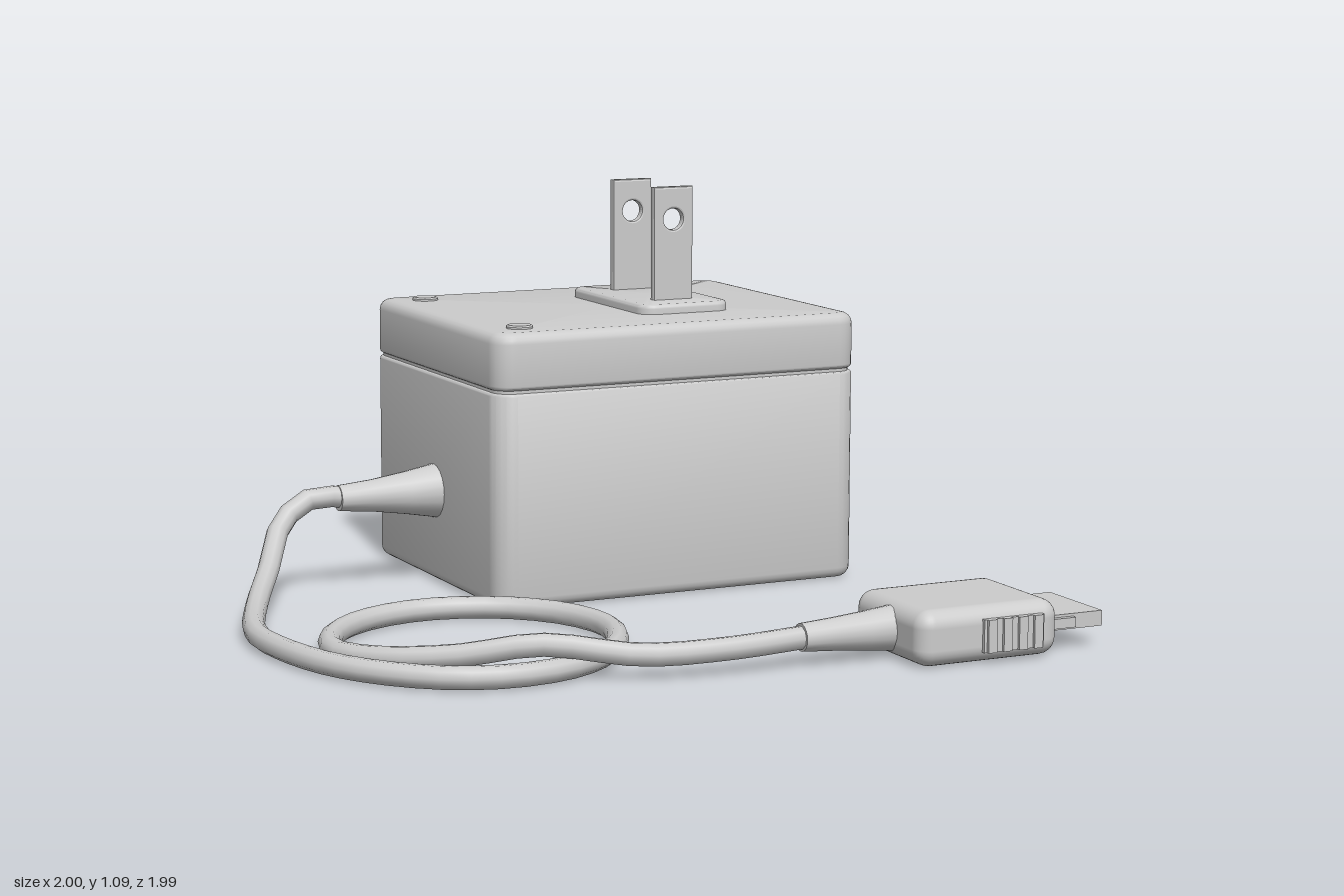
import * as THREE from 'three';
import { toCreasedNormals } from 'three/addons/utils/BufferGeometryUtils.js';
import { RoundedBoxGeometry } from 'three/addons/geometries/RoundedBoxGeometry.js';

const material = new THREE.MeshStandardMaterial({ color: 0xcccccc });

function add(parent, name, geometry, x = 0, y = 0, z = 0) {
  const mesh = new THREE.Mesh(geometry, material);
  mesh.name = name;
  mesh.position.set(x, y, z);
  parent.add(mesh);
  return mesh;
}

// Rounded-rectangle slab lofted upwards through rings of [y, inset]
function roundedSlab(w, d, r, rings, steps = 6) {
  const pos = [], index = [];
  const n = 4 * (steps + 1);
  for (const [y, inset] of rings) {
    for (let c = 0; c < 4; c++) {
      const sx = c === 0 || c === 3 ? 1 : -1, sz = c < 2 ? -1 : 1;
      for (let k = 0; k <= steps; k++) {
        const a = (c + k / steps) * Math.PI / 2;
        pos.push(sx * (w / 2 - r) + (r - inset) * Math.cos(a), y, sz * (d / 2 - r) - (r - inset) * Math.sin(a));
      }
    }
  }
  const last = (rings.length - 1) * n, bottom = rings.length * n, top = bottom + 1;
  pos.push(0, rings[0][0], 0, 0, rings[rings.length - 1][0], 0);
  for (let i = 0; i < n; i++) {
    const j = (i + 1) % n;
    for (let o = 0; o < last; o += n) index.push(o + i, o + j, o + n + j, o + i, o + n + j, o + n + i);
    index.push(bottom, j, i, top, last + i, last + j);
  }
  const g = new THREE.BufferGeometry();
  g.setAttribute('position', new THREE.Float32BufferAttribute(pos, 3));
  g.setIndex(index);
  return toCreasedNormals(g, 0.6);
}

// Quarter-round edge as loft rings: top edge when up is true, else bottom edge
function edge(y, r, up) {
  const rings = [];
  for (let k = 0; k <= 4; k++) {
    const a = (k / 4) * Math.PI / 2;
    rings.push(up ? [y - r + r * Math.sin(a), r - r * Math.cos(a)] : [y + r - r * Math.cos(a), r - r * Math.sin(a)]);
  }
  return rings;
}

// Flared sleeve along x from [distance, radius] pairs
function sleeve(profile) {
  const g = new THREE.LatheGeometry(profile.map(([t, r]) => new THREE.Vector2(r, t)), 20);
  return toCreasedNormals(g.rotateZ(-Math.PI / 2), 0.6);
}

function makeAdapter() {
  const g = new THREE.Group();
  g.name = 'adapter';
  g.position.set(0.305, 0, -0.55);
  add(g, 'body', roundedSlab(1.1, 0.9, 0.06, [...edge(0.005, 0.03, false), ...edge(0.592, 0.008, true)]));
  add(g, 'seam', roundedSlab(1.08, 0.88, 0.05, [[0.57, 0], [0.62, 0]]));
  add(g, 'lid', roundedSlab(1.1, 0.9, 0.06, [...edge(0.6, 0.012, false), ...edge(0.755, 0.03, true)]));
  add(g, 'prongBase', roundedSlab(0.275, 0.49, 0.045, [[0.74, 0], ...edge(0.782, 0.012, true)]), 0.118, 0, 0);

  // Two flat prongs, each with a round hole
  const s = new THREE.Shape();
  s.moveTo(-0.055, 0).lineTo(0.055, 0).lineTo(0.055, 0.325).lineTo(-0.055, 0.325).closePath();
  s.holes.push(new THREE.Path().absarc(0, 0.24, 0.036, 0, Math.PI * 2, true));
  const prong = new THREE.ExtrudeGeometry(s, {
    depth: 0.014, bevelSize: 0.006, bevelThickness: 0.006, bevelSegments: 2, curveSegments: 16,
  }).translate(0, 0, -0.007);
  for (const z of [-0.127, 0.137]) add(g, 'prong', prong, 0.12, 0.768, z);

  // Screw plugs on the lid
  const plug = toCreasedNormals(new THREE.LatheGeometry(
    [[0.037, -0.01], [0.037, 0.005], [0.032, 0.009], [0, 0.009]].map(p => new THREE.Vector2(...p)), 20), 0.5);
  for (const z of [-0.336, 0.336]) add(g, 'screwPlug', plug, -0.435, 0.755, z);
  return g;
}

function makeCable() {
  const g = new THREE.Group();
  g.name = 'cable';
  const path = [
    [-0.48, 0.262, -0.548], [-0.61, 0.268, -0.552], [-0.7, 0.215, -0.53], [-0.78, 0.115, -0.42],
    [-0.88, 0.055, -0.24], [-0.96, 0.036, -0.02], [-0.965, 0.036, 0.17], [-0.91, 0.036, 0.4],
    [-0.8, 0.036, 0.57], [-0.67, 0.036, 0.67], [-0.53, 0.036, 0.702], [-0.36, 0.036, 0.665],
    [-0.2, 0.036, 0.53], [-0.11, 0.036, 0.31], [-0.15, 0.036, 0.11], [-0.28, 0.036, -0.03],
    [-0.47, 0.036, -0.085], [-0.66, 0.036, -0.03], [-0.8, 0.036, 0.11], [-0.85, 0.036, 0.27],
    [-0.79, 0.045, 0.42], [-0.64, 0.065, 0.56], [-0.46, 0.096, 0.66], [-0.23, 0.068, 0.755],
    [-0.02, 0.07, 0.792], [0.22, 0.08, 0.795],
  ].map(p => new THREE.Vector3(...p));
  add(g, 'cord', new THREE.TubeGeometry(new THREE.CatmullRomCurve3(path), 70, 0.03, 10));
  add(g, 'adapterSleeve', sleeve([[0, 0], [0, 0.036], [0.1, 0.045], [0.2, 0.06], [0.31, 0.08]]), -0.53, 0.263, -0.55);
  add(g, 'plugSleeve', sleeve([[0, 0], [0, 0.036], [0.09, 0.042], [0.18, 0.05], [0.27, 0.06]]), 0.19, 0.079, 0.795);
  return g;
}

function makeConnector() {
  const g = new THREE.Group();
  g.name = 'connector';
  g.position.set(0, 0.078, 0.795);
  add(g, 'housing', new RoundedBoxGeometry(0.41, 0.145, 0.35, 4, 0.045), 0.64, 0, 0);
  add(g, 'tip', new THREE.BoxGeometry(0.18, 0.04, 0.245), 0.91, 0, 0.002);
  add(g, 'tipCollar', new THREE.BoxGeometry(0.09, 0.026, 0.275), 0.867, 0, 0.002);

  // Ribbed release buttons on both sides
  for (const side of [-1, 1]) {
    add(g, 'releaseButton', new THREE.BoxGeometry(0.175, 0.085, 0.03), 0.7, 0, side * 0.169);
    for (let i = 0; i < 4; i++) {
      add(g, 'buttonRib', new THREE.BoxGeometry(0.025, 0.085, 0.022), 0.633 + i * 0.045, 0, side * 0.181);
    }
  }
  return g;
}

export function createModel() {
  const model = new THREE.Group();
  model.name = 'powerAdapter';
  model.add(makeAdapter(), makeCable(), makeConnector());
  return model;
}
